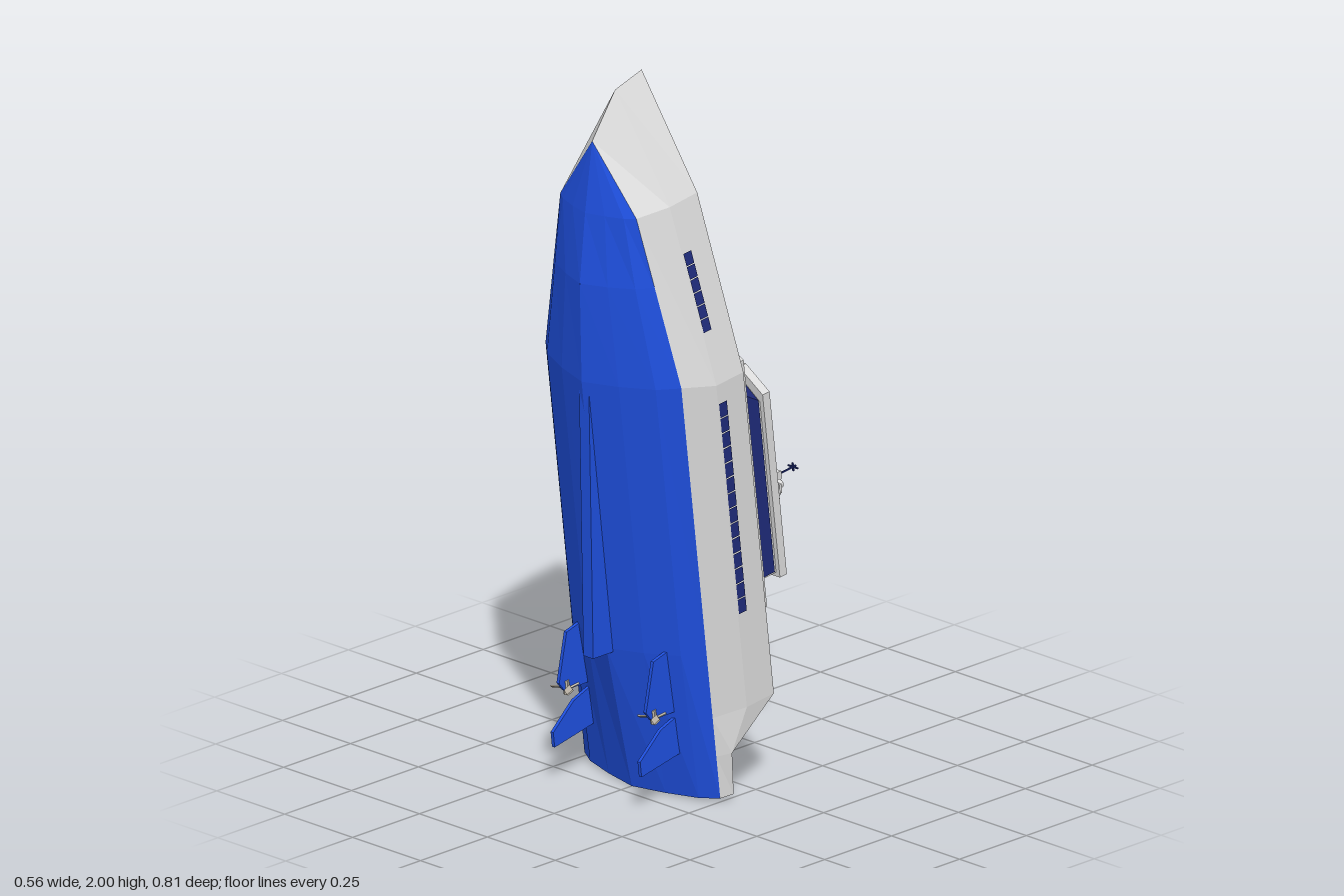
import * as THREE from 'three';

const mat = (name, color, double) => {
  const m = new THREE.MeshStandardMaterial({ color, flatShading: true });
  m.name = name;
  if (double) m.side = THREE.DoubleSide;
  return m;
};

export function createModel() {
  const white = mat('white paint', 0xdcdcdc, true);
  const blue = mat('blue hull', 0x1f50e0, true);
  const navy = mat('navy glass', 0x1f2b7a, true);
  const green = mat('green deck', 0x5ad86a);
  const water = mat('pool water', 0x3abbe0);
  const metal = mat('propeller metal', 0xc4bcae);

  // Boat frame: y up from the keel, z towards the bow; the boat is then stood on its stern
  const boat = new THREE.Group();
  boat.name = 'yacht';
  const add = (name, geo, material, x = 0, y = 0, z = 0, parent = boat) => {
    const m = new THREE.Mesh(geo, material);
    m.name = name;
    m.position.set(x, y, z);
    parent.add(m);
    return m;
  };
  const box = (name, w, h, d, material, x, y, z, parent) =>
    add(name, new THREE.BoxGeometry(w, h, d), material, x, y, z, parent);

  // Lofts a surface through rows of points
  const loft = (rows) => {
    const pos = [];
    for (let i = 0; i + 1 < rows.length; i++)
      for (let j = 0; j + 1 < rows[i].length; j++) {
        const a = rows[i][j], b = rows[i + 1][j], c = rows[i + 1][j + 1], d = rows[i][j + 1];
        pos.push(...a, ...b, ...c, ...a, ...c, ...d);
      }
    const g = new THREE.BufferGeometry();
    g.setAttribute('position', new THREE.Float32BufferAttribute(pos, 3));
    g.computeVertexNormals();
    return g;
  };
  const mirrorLoft = (name, rows, material) => {
    add(name + 'Left', loft(rows), material);
    add(name + 'Right', loft(rows.map((r) => r.map(([x, y, z]) => [-x, y, z]).reverse())), material);
  };
  // Flat plate from [x, z] points, with its top at the given height
  const plate = (name, pts, top, thick, material) => {
    const s = new THREE.Shape(pts.map(([x, z]) => new THREE.Vector2(x, z)));
    const g = new THREE.ExtrudeGeometry(s, { depth: thick, bevelEnabled: false });
    g.rotateX(Math.PI / 2);
    return add(name, g, material, 0, top, 0);
  };
  const bothSides = (half) => [...half, ...half.map(([x, z]) => [-x, z]).reverse()];

  // Underwater hull: stations of [z, half width, depth], transom closed at the first row
  const WL = -0.13;
  const stations = [[0.03, 0.25, 0.078], [0.45, 0.25, 0.122], [1.225, 0.25, 0.12],
    [1.5, 0.185, 0.093], [1.689, 0.14, 0.05], [1.878, 0, 0]];
  const section = ([z, w, d]) => [[1, 0], [0.8, 0.38], [0.42, 0.73], [0, 1], [-0.42, 0.73], [-0.8, 0.38], [-1, 0]]
    .map(([fx, fd]) => [fx * w, WL - fd * d, z]);
  const hullRows = stations.map(section);
  add('lowerHull', loft([hullRows[0].map(() => [0, WL, 0.03]), ...hullRows]), blue);

  // Topsides: sheer, knuckle and waterline
  const top = 0.072, kn = -0.03, deckY = 0.032, platY = -0.09;
  mirrorLoft('topside', [
    [[0.26, platY, 0.03], [0.26, platY, 0.03], [0.25, WL, 0.03]],
    [[0.269, platY, 0.152], [0.269, platY, 0.152], [0.25, WL, 0.152]],
    [[0.278, top, 0.264], [0.278, kn, 0.264], [0.25, WL, 0.264]],
    [[0.278, top, 1.2], [0.278, kn, 1.2], [0.25, WL, 1.225]],
    [[0.167, top, 1.693], [0.165, kn, 1.69], [0.14, WL, 1.689]],
    [[0, top, 2.006], [0, kn, 1.988], [0, WL, 1.878]],
  ], white);
  add('transom', loft([
    [[0.25, WL, 0.03], [-0.25, WL, 0.03]],
    [[0.26, platY, 0.03], [-0.26, platY, 0.03]]]), white);

  // Bulwark rim and inner face
  const sheer = [[0.278, 0.264, 0.266], [0.278, 1.2, 0.266], [0.167, 1.693, 0.155]];
  mirrorLoft('bulwark', [
    ...sheer.map(([x, z, xi]) => [[xi, deckY - 0.01, z], [xi, top, z], [x, top, z]]),
    [[0, deckY - 0.01, 1.982], [0, top, 1.982], [0, top, 2.006]]], white);
  box('sternBulwark', 0.54, 0.05, 0.01, white, 0, 0.047, 0.269);
  plate('mainDeck', [[0.27, 0.27], [0.27, 1.2], [0.158, 1.693], [0, 1.985], [-0.158, 1.693], [-0.27, 1.2], [-0.27, 0.27]],
    deckY, 0.01, green);

  // Swim platform, open under the main deck, with sloping wings
  plate('swimPlatform', bothSides([[0.257, 0.031], [0.258, 0.152], [0.254, 0.264], [0.254, 0.4]]),
    platY + 0.002, 0.008, green);
  mirrorLoft('sternWing', [
    [[0.236, platY, 0.152], [0.236, platY, 0.152], [0.269, platY, 0.152]],
    [[0.245, platY, 0.264], [0.245, top, 0.264], [0.278, top, 0.264]]], white);
  mirrorLoft('platformSideWall', [0.264, 0.4].map((z) => [[0.245, platY, z], [0.245, 0.024, z]]), white);
  box('platformBackWall', 0.5, 0.112, 0.01, white, 0, -0.034, 0.4);

  // Hull windows
  const hullX = (z) => (z < 1.2 ? 0.278 : 0.278 - (z - 1.2) * 0.2252) + 0.003;
  for (const [from, to, n] of [[0.535, 1.15, 14], [1.345, 1.565, 6]]) {
    const step = (to - from) / n;
    for (let i = 0; i < n; i++) {
      const z0 = from + i * step, z1 = z0 + step * 0.93;
      mirrorLoft('hullWindow', [z0, z1].map((z) => [[hullX(z), 0, z], [hullX(z), -0.029, z]]), navy);
    }
  }

  // Cabins: raked fronts with chamfered corners
  const plan = (w, front, stern) => bothSides([[w, stern], [w, front - 0.06], [w * 0.47, front]]);
  const ring = (w, y, front, stern) => plan(w, front, stern).map(([x, z]) => [x, y, z]);
  const cabin = (name, w, stern, levels) => {
    const rows = levels.map(([y, f]) => {
      const r = ring(w, y, f, stern);
      return [...r, r[0]];
    });
    add(name + 'Walls', loft(rows), white);
    add(name + 'Windows', loft(levels.slice(1, 3).map(([y, f]) => ring(w + 0.003, y, f + 0.004, stern + 0.005))), navy);
  };
  cabin('lowerCabin', 0.175, 0.47, [[0.028, 1.285], [0.068, 1.258], [0.128, 1.22], [0.14, 1.215]]);
  plate('lowerRoof', plan(0.19, 1.236, 0.458), 0.16, 0.026, white);
  cabin('upperCabin', 0.137, 0.505, [[0.158, 1.13], [0.19, 1.105], [0.247, 1.065], [0.258, 1.06]]);
  plate('upperRoof', plan(0.15, 1.085, 0.493), 0.28, 0.026, white);

  // Roof skylight and oval stern windows
  const oval = new THREE.CylinderGeometry(1, 1, 1, 20);
  add('skylight', oval, navy, 0, 0.162, 1.165).scale.set(0.055, 0.006, 0.017);
  for (const x of [-0.12, 0, 0.12]) {
    const w = add('sternWindow', oval, navy, x, 0.092, 0.469);
    w.rotation.x = Math.PI / 2;
    w.scale.set(0.038, 0.006, 0.026);
  }

  // Pool with a raised frame
  box('poolWater', 0.15, 0.012, 0.31, water, 0, 0.035, 1.533);
  for (const s of [-1, 1]) {
    box('poolSide', 0.009, 0.012, 0.326, white, s * 0.078, 0.037, 1.533);
    box('poolEnd', 0.165, 0.012, 0.009, white, 0, 0.037, 1.533 + s * 0.159);
  }

  // Sun loungers, heads outboard
  const lounger = (s, x, y, z) => {
    const g = new THREE.Group();
    g.name = 'sunLounger';
    box('seat', 0.05, 0.006, 0.03, white, -0.01, 0.02, 0, g);
    box('backrest', 0.03, 0.006, 0.03, white, 0.025, 0.026, 0, g).rotation.z = 0.45;
    for (const lx of [-0.028, 0.02])
      for (const lz of [-0.011, 0.011]) box('leg', 0.004, 0.018, 0.004, white, lx, 0.009, lz, g);
    g.position.set(s * x, y, z);
    if (s < 0) g.rotation.y = Math.PI;
    boat.add(g);
  };
  for (const s of [-1, 1]) {
    for (const z of [1.43, 1.5]) lounger(s, 0.13, deckY, z);
    for (const z of [0.18, 0.235]) lounger(s, 0.13, platY, z);
  }

  // Mast with radar arms, domes and antenna
  add('mast', loft([[0.28, 0.026], [0.421, 0.011], [0.421, 0]].map(([y, d]) =>
    [[1, -1], [1, 1], [-1, 1], [-1, -1], [1, -1]].map(([a, b]) => [a * 0.017, y, 0.69 + b * d]))), white);
  for (const [y, w, dx] of [[0.317, 0.107, 0.08], [0.358, 0.075, 0.05]]) {
    box('radarArm', w * 2, 0.008, 0.026, white, 0, y, 0.69);
    for (const s of [-1, 1]) {
      add('domeBase', new THREE.CylinderGeometry(0.013, 0.009, 0.018, 12), white, s * dx, y + 0.012, 0.69);
      const cap = new THREE.SphereGeometry(0.013, 12, 4, 0, Math.PI * 2, 0, Math.PI / 2);
      add('domeCap', cap, white, s * dx, y + 0.021, 0.69).scale.y = 0.6;
    }
  }
  box('antenna', 0.004, 0.075, 0.004, navy, 0, 0.453, 0.685);
  box('antennaBar', 0.036, 0.004, 0.004, navy, 0, 0.48, 0.685);
  box('antennaCrossBar', 0.004, 0.004, 0.024, navy, 0, 0.48, 0.685);

  // Keel, struts and rudders from side profiles of [z, y]
  const fin = (name, pts, thick, x) => {
    const s = new THREE.Shape(pts.map(([z, y]) => new THREE.Vector2(-z, y)));
    const g = new THREE.ExtrudeGeometry(s, { depth: thick, bevelEnabled: false });
    g.translate(0, 0, -thick / 2).rotateY(Math.PI / 2);
    add(name, g, blue, x);
  };
  fin('keel', [[1.2, -0.244], [0.45, -0.32], [0.44, -0.24]], 0.036, 0);
  for (const s of [-1, 1]) {
    fin('shaftStrut', [[0.46, -0.18], [0.45, -0.243], [0.318, -0.287], [0.29, -0.27], [0.28, -0.17]], 0.01, s * 0.16);
    fin('rudder', [[0.27, -0.16], [0.25, -0.24], [0.19, -0.325], [0.147, -0.325], [0.16, -0.16]], 0.01, s * 0.16);

    // Propeller
    const prop = new THREE.Group();
    prop.name = 'propeller';
    const hub = add('hub', new THREE.CylinderGeometry(0.009, 0.009, 0.04, 10), metal, 0, 0, 0, prop);
    hub.rotation.x = Math.PI / 2;
    for (let i = 0; i < 3; i++) {
      const arm = new THREE.Group();
      arm.name = 'bladeArm';
      arm.rotation.z = (i * 2 * Math.PI) / 3;
      box('blade', 0.02, 0.036, 0.004, metal, 0, 0.022, 0, arm).rotation.y = 0.6;
      prop.add(arm);
    }
    prop.position.set(s * 0.16, -0.258, 0.296);
    boat.add(prop);
  }

  boat.rotation.x = -THREE.MathUtils.degToRad(83);
  const model = new THREE.Group();
  model.name = 'standingYacht';
  model.add(boat);
  return model;
}
